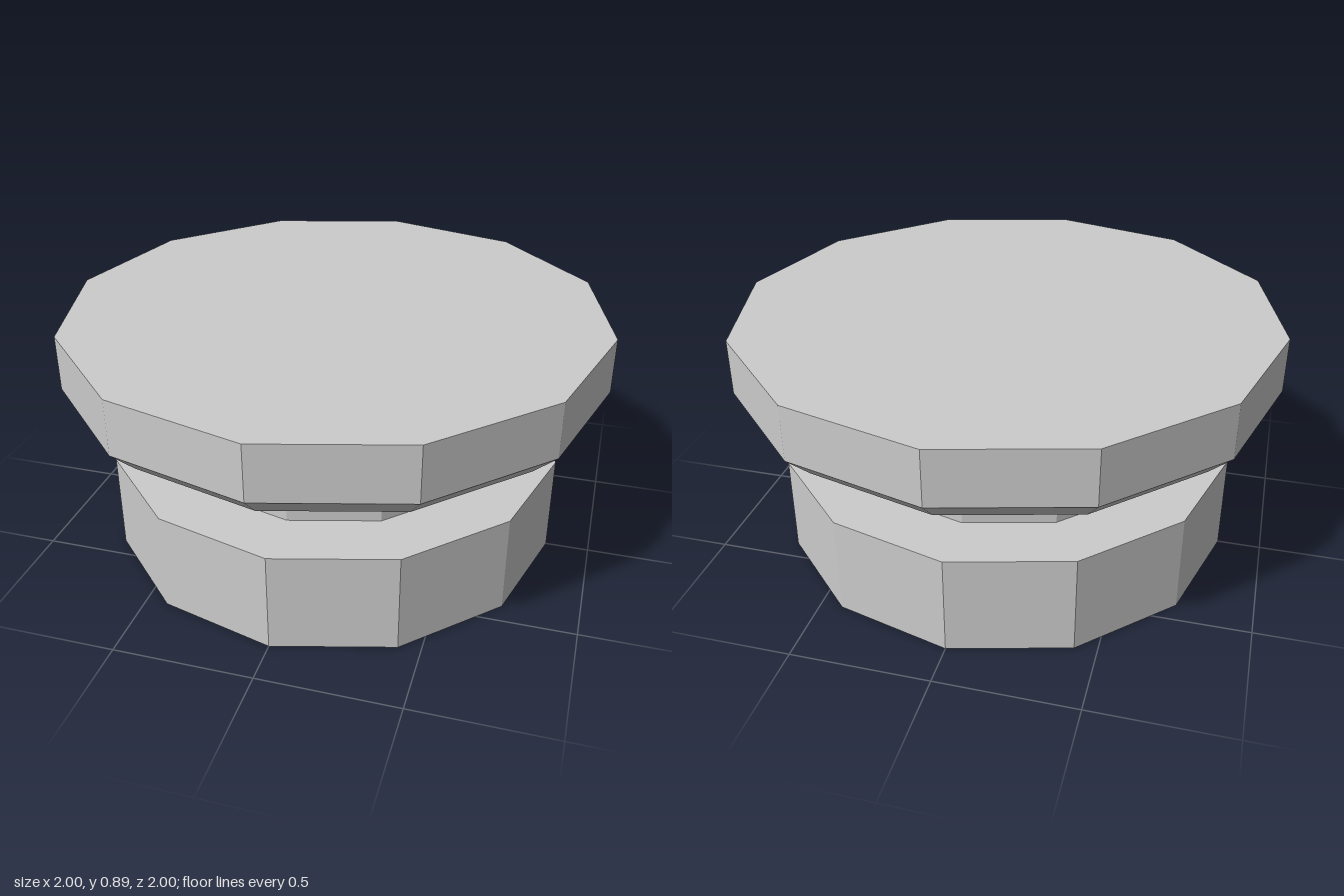
import * as THREE from 'three';

const SIDES = 12;

export function createModel() {
  const group = new THREE.Group();
  const material = new THREE.MeshStandardMaterial({ color: 0xcccccc, flatShading: true });

  // Each part is a twelve-sided turned profile of [radius, height], bottom to top
  const addTurned = (name, profile) => {
    const points = profile.map(([r, y]) => new THREE.Vector2(r, y));
    const mesh = new THREE.Mesh(new THREE.LatheGeometry(points, SIDES), material);
    mesh.name = name;
    group.add(mesh);
  };

  // Foot: closed below, with a ledge running in to the neck
  addTurned('base', [[0, 0], [0.842, 0], [0.842, 0.368], [0.62, 0.368]]);

  // Narrow groove between foot and cap
  addTurned('neck', [[0.62, 0.368], [0.62, 0.466]]);

  // Cap: two flaring bevels, a straight rim and a flat top
  addTurned('cap', [[0.62, 0.466], [0.912, 0.6], [1, 0.686], [1, 0.888], [0, 0.888]]);

  return group;
}
